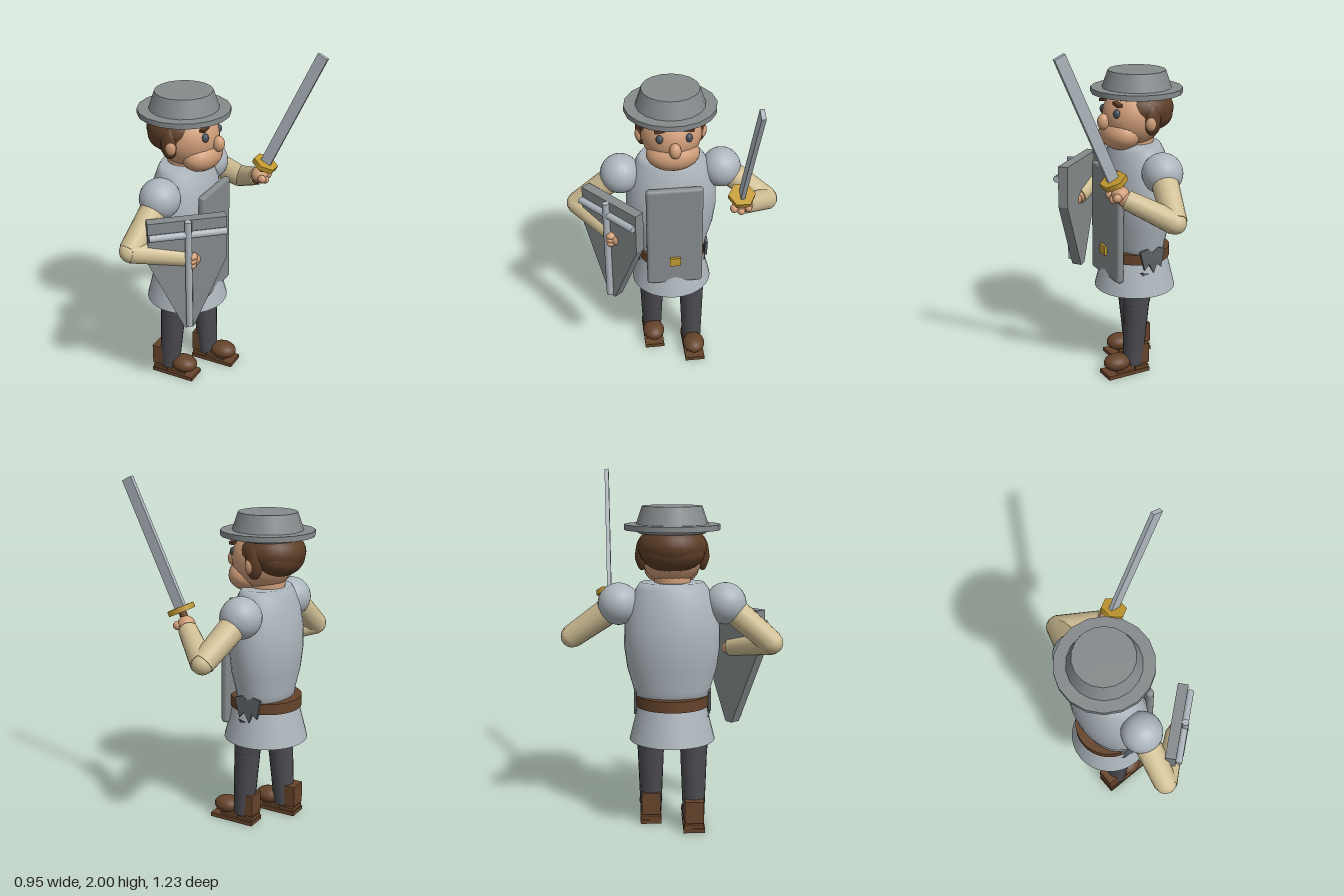
import * as THREE from 'three';
import { RoundedBoxGeometry } from 'three/addons/geometries/RoundedBoxGeometry.js';

const mat = (name, color, opts = {}) => {
  const m = new THREE.MeshStandardMaterial({ color, ...opts });
  m.name = name;
  return m;
};

export function createModel() {
  const root = new THREE.Group();
  root.name = 'footSoldier';

  const steel = mat('paleSteel', 0xadb6bd);
  const iron = mat('greyIron', 0x858a8c);
  const cloth = mat('paddedSleeve', 0xd0bf94);
  const skin = mat('skin', 0xcf9d78);
  const hair = mat('brownHair', 0x5c3d26);
  const leather = mat('brownLeather', 0x65432a);
  const wool = mat('darkWool', 0x4b4a50);
  const gold = mat('brass', 0xc0982f);
  const eyeMat = mat('eyeSlate', 0x454f59);
  const shade = mat('tornCloth', 0x5d6165, { side: THREE.DoubleSide });

  const V = (x, y, z) => new THREE.Vector3(x, y, z);
  const add = (name, geo, m, x = 0, y = 0, z = 0, parent = root) => {
    const mesh = new THREE.Mesh(geo, m);
    mesh.name = name;
    mesh.position.set(x, y, z);
    parent.add(mesh);
    return mesh;
  };
  const ball = (name, m, p, r) => {
    const b = add(name, new THREE.SphereGeometry(1, 24, 16), m, ...p);
    b.scale.set(...r);
    return b;
  };
  const box = (name, m, p, s, parent) => add(name, new THREE.BoxGeometry(...s), m, ...p, parent);
  // Tapered rod between two points
  const rod = (name, m, a, b, ra, rb = ra, sides = 18, parent = root) => {
    const dir = b.clone().sub(a);
    const mid = a.clone().add(b).multiplyScalar(0.5);
    const r = add(name, new THREE.CylinderGeometry(rb, ra, dir.length(), sides), m, mid.x, mid.y, mid.z, parent);
    r.quaternion.setFromUnitVectors(V(0, 1, 0), dir.normalize());
    return r;
  };
  const CX = -0.218; // body axis; the figure looks along +x

  // Torso: oval barrel, wider across the shoulders
  const profile = [[0, 0.7], [0.2, 0.7], [0.215, 0.8], [0.25, 0.92], [0.266, 1.04], [0.264, 1.15],
    [0.24, 1.27], [0.2, 1.36], [0.175, 1.395], [0, 1.395]].map(([r, y]) => new THREE.Vector2(r, y));
  add('torso', new THREE.LatheGeometry(profile, 32), steel, CX).scale.x = 0.72;
  add('skirt', new THREE.CylinderGeometry(0.185, 0.24, 0.22, 32), steel, CX, 0.62, 0);
  add('belt', new THREE.CylinderGeometry(0.204, 0.204, 0.062, 32), leather, CX, 0.735, 0);
  add('chestPlate', new RoundedBoxGeometry(0.044, 0.665, 0.33, 3, 0.018), iron, -0.033, 0.932, 0);
  box('buckle', gold, [-0.008, 0.765, 0], [0.025, 0.055, 0.064]);

  // Ragged cloth tabs at the waist
  const tab = new THREE.Shape([[-0.08, 0.06], [-0.035, 0.075], [0, 0.05], [0.03, 0.075], [0.08, 0.06], [0.05, -0.055],
    [0.02, -0.02], [-0.01, -0.08], [-0.03, -0.025], [-0.06, -0.05]].map(p => new THREE.Vector2(...p)));
  for (const s of [1, -1]) {
    add('waistTab', new THREE.ExtrudeGeometry(tab, { depth: 0.016, bevelEnabled: false }), shade, CX + 0.005, 0.73, s * 0.206 - 0.008);
  }

  // Head and face
  rod('neck', skin, V(CX, 1.36, 0), V(CX, 1.46, 0), 0.1);
  ball('skull', skin, [-0.195, 1.55, 0], [0.18, 0.17, 0.175]);
  ball('jaw', skin, [-0.108, 1.455, 0], [0.108, 0.095, 0.152]);
  ball('nose', skin, [-0.005, 1.53, 0], [0.036, 0.046, 0.034]);
  ball('hairCap', hair, [-0.245, 1.59, 0], [0.188, 0.13, 0.19]);
  ball('hairBack', hair, [-0.288, 1.56, 0], [0.135, 0.105, 0.175]);
  for (const s of [1, -1]) {
    ball('sideHair', hair, [-0.225, 1.55, s * 0.165], [0.05, 0.09, 0.035]);
    ball('ear', skin, [-0.21, 1.535, s * 0.178], [0.032, 0.046, 0.026]);
    ball('eye', eyeMat, [-0.047, 1.585, s * 0.08], [0.02, 0.026, 0.022]);
    box('eyebrow', hair, [-0.05, 1.638, s * 0.08], [0.03, 0.016, 0.06]).rotation.x = s * 0.15;
  }

  // Brimmed helmet
  add('helmetBrim', new THREE.CylinderGeometry(0.262, 0.262, 0.03, 18), iron, CX, 1.695, 0);
  add('helmetBand', new THREE.CylinderGeometry(0.2, 0.185, 0.02, 18), iron, CX, 1.672, 0);
  add('helmetCrown', new THREE.CylinderGeometry(0.164, 0.198, 0.1, 18), iron, CX, 1.758, 0);

  // Legs and boots, one foot ahead of the other
  const legs = [
    { z: 0.12, hip: -0.245, knee: -0.25, ankle: -0.282, toe: -0.1 },
    { z: -0.12, hip: -0.19, knee: -0.165, ankle: -0.142, toe: 0.05 },
  ];
  for (const { z, hip, knee, ankle, toe } of legs) {
    rod('thigh', wool, V(hip, 0.65, z), V(knee, 0.45, z), 0.085, 0.077);
    ball('knee', wool, [knee, 0.45, z], [0.077, 0.04, 0.077]);
    rod('shin', wool, V(knee, 0.46, z), V(ankle, 0.05, z), 0.076, 0.06);
    box('sole', leather, [toe - 0.138, 0.012, z], [0.275, 0.024, 0.12]);
    box('heel', leather, [toe - 0.225, 0.034, z], [0.09, 0.022, 0.11]);
    box('bootBack', leather, [toe - 0.238, 0.118, z], [0.074, 0.125, 0.105]);
    ball('bootToe', leather, [toe - 0.083, 0.077, z], [0.082, 0.05, 0.068]);
    box('bootBase', leather, [toe - 0.14, 0.045, z], [0.16, 0.045, 0.09]);
  }

  // Arms
  const arms = [
    { shoulder: V(CX, 1.275, 0.294), elbow: V(-0.262, 1.06, 0.55), wrist: V(-0.015, 0.99, 0.35) },
    { shoulder: V(CX, 1.275, -0.294), elbow: V(-0.14, 1.08, -0.56), wrist: V(0.06, 1.19, -0.385) },
  ];
  for (const { shoulder, elbow, wrist } of arms) {
    ball('shoulderGuard', steel, shoulder.toArray(), [0.116, 0.116, 0.116]);
    rod('upperArm', cloth, shoulder, elbow, 0.078, 0.066, 16);
    ball('elbow', cloth, elbow.toArray(), [0.062, 0.062, 0.062]);
    rod('forearm', cloth, elbow, wrist, 0.066, 0.054, 16);
    const dir = wrist.clone().sub(elbow).normalize();
    rod('wrist', skin, wrist, wrist.clone().addScaledVector(dir, 0.025), 0.046, 0.042, 16);
  }

  // Hands with knuckles
  ball('shieldHand', skin, [0.008, 0.985, 0.34], [0.045, 0.045, 0.045]);
  ball('swordHand', skin, [0.085, 1.215, -0.362], [0.05, 0.048, 0.05]);
  for (let i = -1; i <= 1; i++) {
    ball('shieldFinger', skin, [0.022 + i * 0.004, 0.985 + i * 0.028, 0.375], [0.026, 0.02, 0.028]);
    ball('swordFinger', skin, [0.122, 1.21 - (i === 0 ? 0.018 : 0), -0.355 + i * 0.04], [0.026, 0.024, 0.022]);
  }

  // Sword
  const guardAt = V(0.122, 1.293, -0.355);
  const sword = new THREE.Group();
  sword.name = 'sword';
  sword.position.copy(guardAt);
  const tip = V(0.443, 1.986, -0.374);
  const length = tip.distanceTo(guardAt);
  sword.quaternion.setFromUnitVectors(V(0, 1, 0), tip.clone().sub(guardAt).normalize());
  root.add(sword);
  box('blade', steel, [0, length / 2, 0], [0.064, length, 0.024], sword);
  add('swordGuard', new THREE.CylinderGeometry(0.077, 0.077, 0.03, 6), gold, 0, 0, 0, sword);
  rod('swordGrip', leather, V(0, -0.14, 0), V(0, 0, 0), 0.022, 0.022, 12, sword);

  // Kite-shaped shield with cross bars on its face
  const shield = new THREE.Group();
  shield.name = 'shield';
  shield.position.set(-0.02, 0, 0.358);
  shield.rotation.y = 0.695;
  root.add(shield);
  const outline = new THREE.Shape([[-0.218, 1.23], [-0.218, 0.98], [-0.025, 0.55], [0.025, 0.55], [0.218, 0.98], [0.218, 1.23]]
    .map(p => new THREE.Vector2(...p)));
  add('shieldBoard', new THREE.ExtrudeGeometry(outline, { depth: 0.06, bevelEnabled: false }), iron, 0, 0, -0.03, shield);
  rod('shieldUpright', steel, V(0, 0.575, 0.048), V(0, 1.23, 0.048), 0.02, 0.02, 8, shield);
  rod('shieldCrossbar', steel, V(-0.214, 1.15, 0.044), V(0.214, 1.15, 0.044), 0.021, 0.021, 8, shield);

  return root;
}
